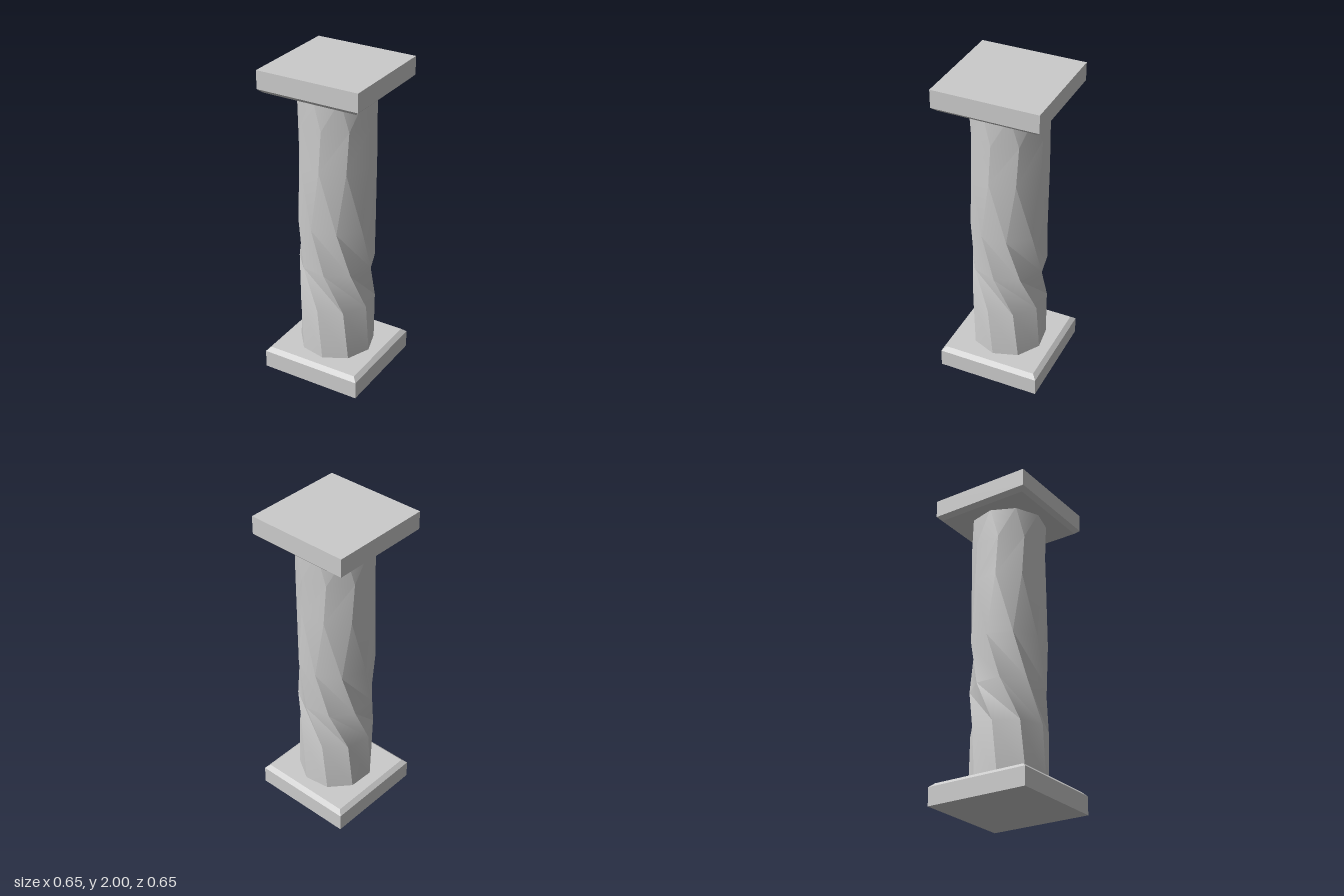
import * as THREE from 'three';
import { toCreasedNormals } from 'three/addons/utils/BufferGeometryUtils.js';

const SIDES = 9;
const RADIUS = 0.235;
// Height and turn (degrees) of each ring of the shaft
const RINGS = [[0.13, 8], [0.47, 0], [0.73, -29], [1.02, -50], [1.41, -36], [1.67, 8], [1.87, 35]];

// Nine-sided shaft whose rings turn back and forth
function shaftGeometry() {
  const positions = [];
  const index = [];
  for (const [y, turn] of RINGS) {
    for (let i = 0; i < SIDES; i++) {
      const a = THREE.MathUtils.degToRad(turn + (i * 360) / SIDES);
      positions.push(RADIUS * Math.sin(a), y, RADIUS * Math.cos(a));
    }
  }
  for (let r = 0; r < RINGS.length - 1; r++) {
    for (let i = 0; i < SIDES; i++) {
      const a = r * SIDES + i;
      const b = r * SIDES + ((i + 1) % SIDES);
      index.push(a, b, a + SIDES, b, b + SIDES, a + SIDES);
    }
  }
  const geometry = new THREE.BufferGeometry();
  geometry.setAttribute('position', new THREE.Float32BufferAttribute(positions, 3));
  geometry.setIndex(index);
  return toCreasedNormals(geometry, THREE.MathUtils.degToRad(30));
}

// Square slab with a chamfered upper rim, as a four-sided lathe
function slabGeometry() {
  const profile = [[0, 0], [0.327, 0], [0.327, 0.113], [0.3, 0.138], [0, 0.138]]
    .map(([half, y]) => new THREE.Vector2(half * Math.SQRT2, y));
  return new THREE.LatheGeometry(profile, 4, Math.PI / 4);
}

export function createModel() {
  const model = new THREE.Group();
  model.name = 'twistedColumn';
  const smooth = new THREE.MeshStandardMaterial({ color: 0xcccccc });
  const flat = new THREE.MeshStandardMaterial({ color: 0xcccccc, flatShading: true });

  const shaft = new THREE.Mesh(shaftGeometry(), smooth);
  shaft.name = 'shaft';

  const base = new THREE.Mesh(slabGeometry(), flat);
  base.name = 'base';

  // Capital is the base turned upside down
  const capital = new THREE.Mesh(base.geometry, flat);
  capital.name = 'capital';
  capital.rotation.z = Math.PI;
  capital.position.y = 2;

  model.add(base, shaft, capital);
  return model;
}
